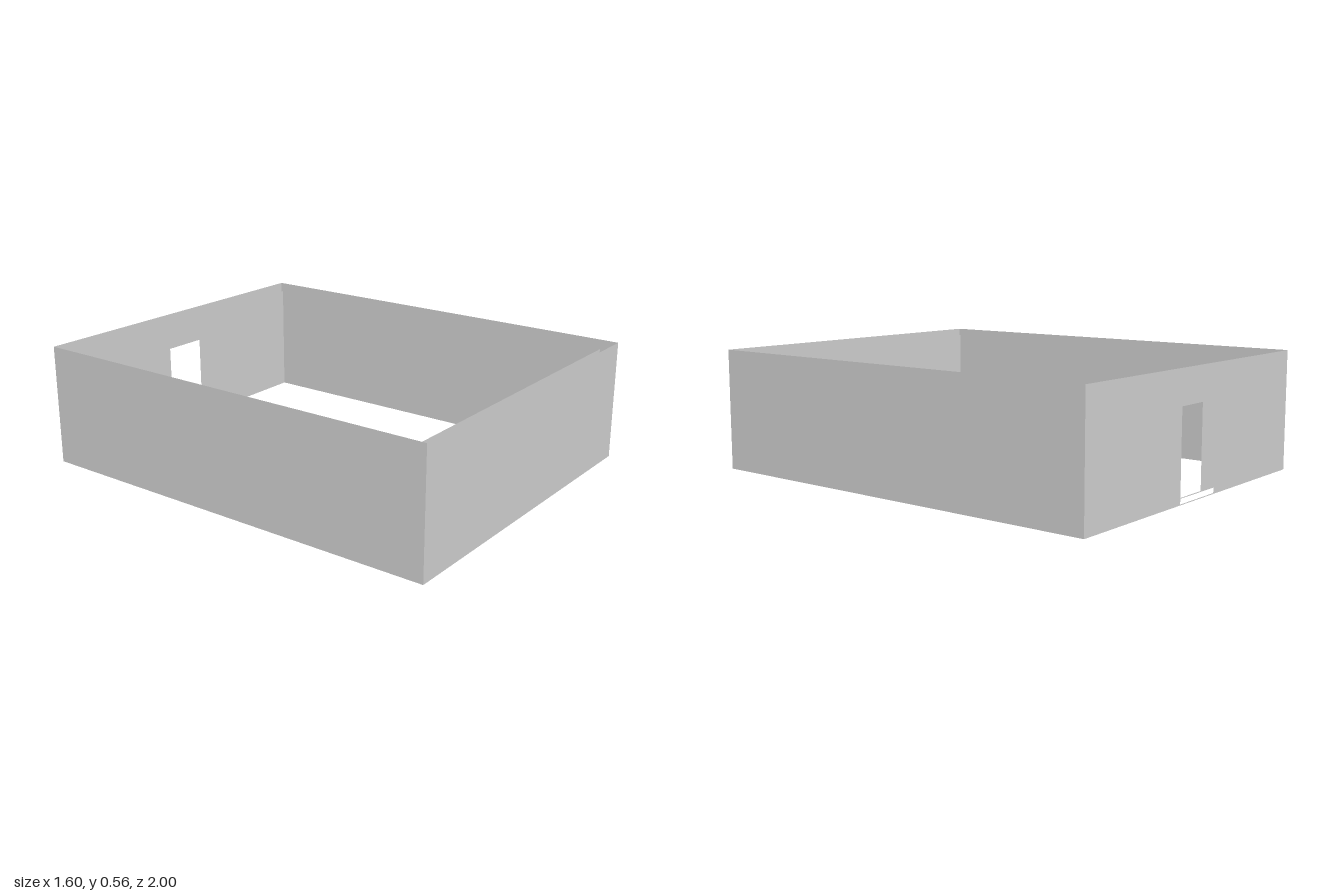
import * as THREE from 'three';

const GAP = 0.06;
const DOOR = { left: -0.137, right: 0.133, sill: 0.004, head: 0.402 };

// Upright panel standing on y = 0, optionally with the doorway cut out above a thin sill.
function panelGeometry(width, height, hasDoor = false) {
  const outline = (x0, y0, x1, y1) =>
    [[x0, y0], [x1, y0], [x1, y1], [x0, y1]].map(([x, y]) => new THREE.Vector2(x, y));
  const shape = new THREE.Shape(outline(-width / 2, 0, width / 2, height));
  if (hasDoor) shape.holes.push(new THREE.Path(outline(DOOR.left, DOOR.sill, DOOR.right, DOOR.head)));
  return new THREE.ShapeGeometry(shape);
}

export function createModel() {
  const model = new THREE.Group();
  model.name = 'roomWalls';
  const plaster = new THREE.MeshStandardMaterial({ color: 0xd0d0d0, side: THREE.DoubleSide });
  plaster.name = 'greyPlaster';

  function addWall(name, geometry, x, z, turn = 0) {
    const mesh = new THREE.Mesh(geometry, plaster);
    mesh.name = name;
    mesh.position.set(x, 0, z);
    mesh.rotation.y = turn;
    model.add(mesh);
  }

  // Outer and inner wall skins, open between them; the inner one is slightly lower.
  const skins = [
    { name: 'outer', halfX: 0.8, halfZ: 1, height: 0.556 },
    { name: 'inner', halfX: 0.8 - GAP, halfZ: 1 - GAP, height: 0.529 },
  ];
  for (const { name, halfX, halfZ, height } of skins) {
    addWall(name + 'FrontWall', panelGeometry(halfX * 2, height), 0, halfZ);
    addWall(name + 'BackWall', panelGeometry(halfX * 2, height, true), 0, -halfZ);
    addWall(name + 'LeftWall', panelGeometry(halfZ * 2, height), halfX, 0, Math.PI / 2);
    addWall(name + 'RightWall', panelGeometry(halfZ * 2, height), -halfX, 0, -Math.PI / 2);
  }

  return model;
}
